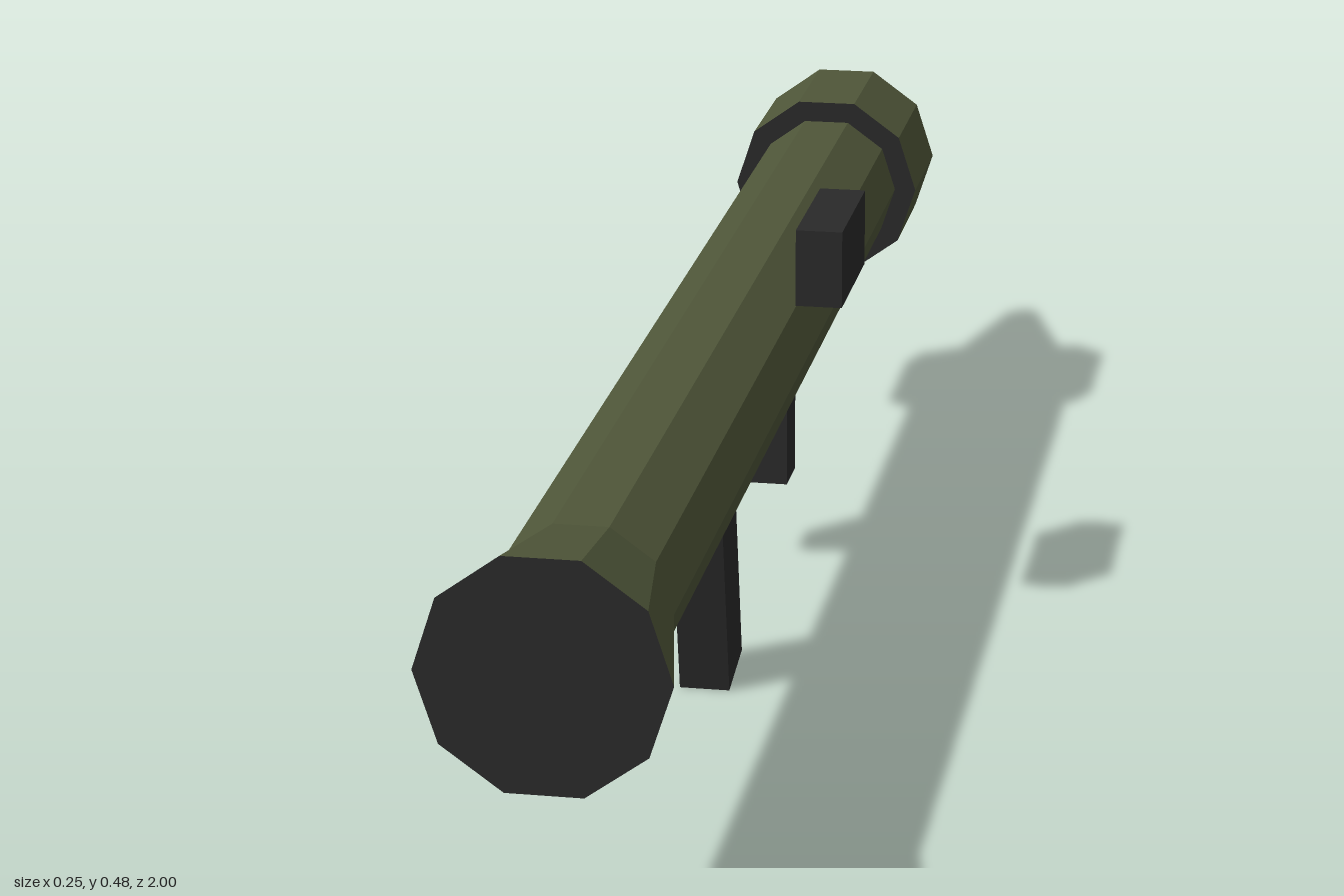
import * as THREE from 'three';

const AXIS_X = -0.005, AXIS_Y = 0.33, SIDES = 10;

export function createModel() {
  const group = new THREE.Group();
  const paint = (name, color) => {
    const m = new THREE.MeshStandardMaterial({ color, flatShading: true });
    m.name = name;
    return m;
  };
  const olive = paint('olive', 0x4f5639);
  const black = paint('black', 0x2a2a2a);
  const red = paint('red', 0x9c3a2c);

  // Ten-sided section along z, with its own side and end colours
  const section = (name, zFront, zBack, rFront, rBack, side, ends) => {
    const g = new THREE.CylinderGeometry(rFront, rBack, zFront - zBack, SIDES);
    g.rotateY(Math.PI / 2).rotateX(Math.PI / 2);
    const mesh = new THREE.Mesh(g, [side, ends, ends]);
    mesh.name = name;
    mesh.position.set(AXIS_X, AXIS_Y, (zFront + zBack) / 2);
    group.add(mesh);
  };

  const block = (name, size, pos, tilt = 0) => {
    const mesh = new THREE.Mesh(new THREE.BoxGeometry(...size), black);
    mesh.name = name;
    mesh.position.set(...pos);
    mesh.rotation.x = tilt;
    group.add(mesh);
  };

  // Tube, flared end, collar and tapered nose
  section('tube', 0.83, -0.79, 0.0857, 0.0857, olive, black);
  section('flare', 1, 0.83, 0.118, 0.0857, olive, black);
  section('collar', -0.63, -0.795, 0.111, 0.111, olive, black);
  section('nose', -0.79, -1, 0.069, 0.017, red, red);

  // Sight box and the two grips
  block('sight', [0.05, 0.084, 0.168], [0.097, 0.439, 0]);
  block('tiltedGrip', [0.054, 0.207, 0.08], [AXIS_X, 0.11, 0.191], 0.2);
  block('foreGrip', [0.054, 0.152, 0.058], [AXIS_X, 0.178, -0.2]);

  return group;
}
